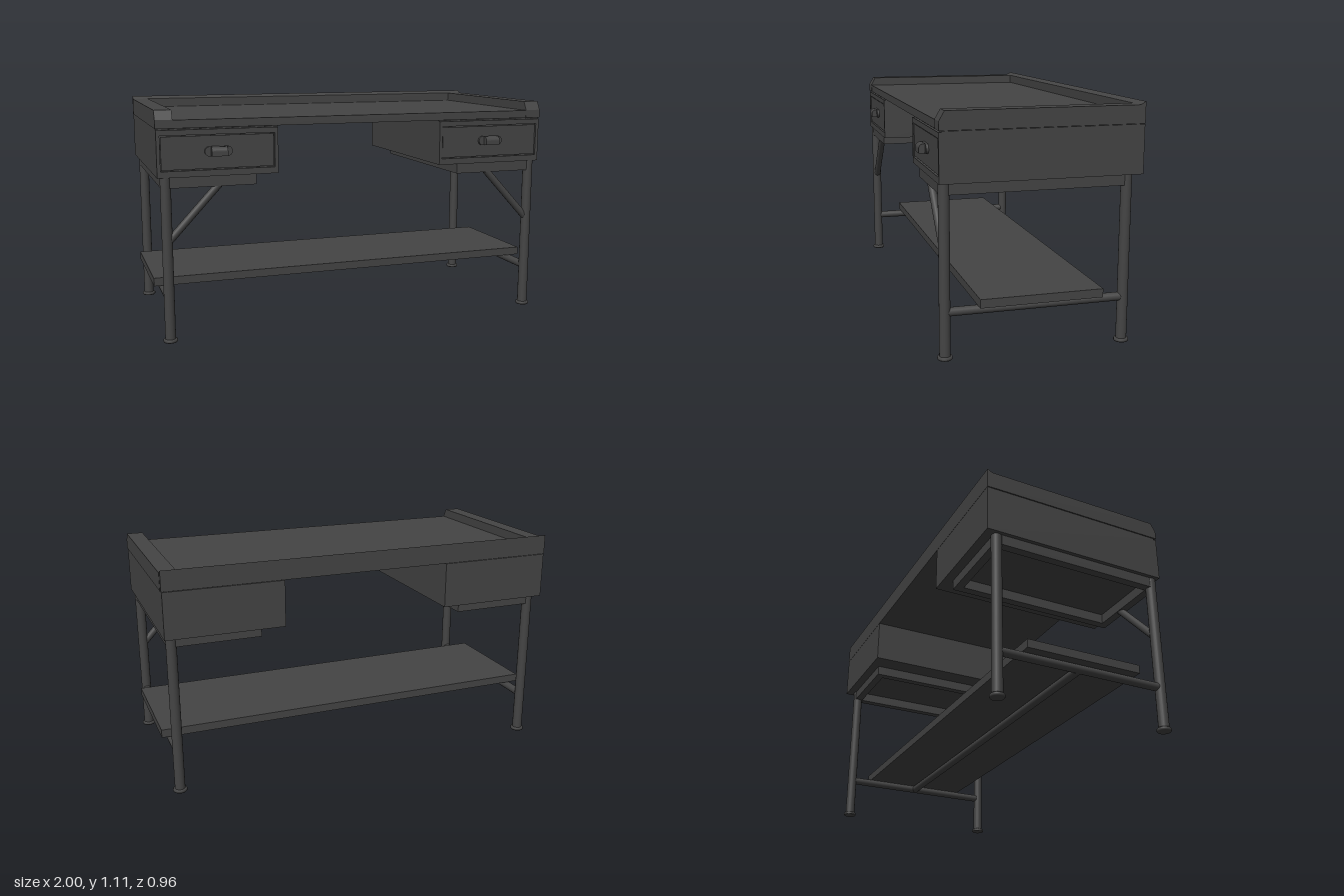
import * as THREE from 'three';

const material = new THREE.MeshStandardMaterial({ color: 0x444444 });

export function createModel() {
  const model = new THREE.Group();

  const add = (name, geometry, x = 0, y = 0, z = 0, parent = model) => {
    const mesh = new THREE.Mesh(geometry, material);
    mesh.name = name;
    mesh.position.set(x, y, z);
    parent.add(mesh);
    return mesh;
  };

  // Box given by its lower and upper limits on each axis
  const block = (name, [x0, x1], [y0, y1], [z0, z1], parent) =>
    add(name, new THREE.BoxGeometry(Math.abs(x1 - x0), y1 - y0, z1 - z0),
      (x0 + x1) / 2, (y0 + y1) / 2, (z0 + z1) / 2, parent);

  // Round bar between two points
  const bar = (name, from, to, radius, parent) => {
    const a = new THREE.Vector3(...from), b = new THREE.Vector3(...to);
    const dir = b.clone().sub(a);
    const mesh = add(name, new THREE.CylinderGeometry(radius, radius, dir.length(), 20), 0, 0, 0, parent);
    mesh.position.copy(a).add(b).multiplyScalar(0.5);
    mesh.quaternion.setFromUnitVectors(new THREE.Vector3(0, 1, 0), dir.normalize());
    return mesh;
  };

  // Profile of [z, y] points extruded along x, centred on x
  const extrudeX = (name, points, width, x, parent) => {
    const shape = new THREE.Shape(points.map(([z, y]) => new THREE.Vector2(-z, y)));
    const geometry = new THREE.ExtrudeGeometry(shape, { depth: width, bevelEnabled: false });
    geometry.translate(0, 0, -width / 2).rotateY(Math.PI / 2);
    return add(name, geometry, x, 0, 0, parent);
  };

  // Worktop with raised back lip
  block('worktop', [-0.99, 0.99], [1.01, 1.048], [-0.475, 0.443]);
  extrudeX('backLip', [[-0.48, 1.01], [-0.455, 1.01], [-0.455, 1.093], [-0.48, 1.107]], 1.98, 0);

  // Shelf and the long bar below it
  block('shelf', [-1, 1], [0.235, 0.275], [-0.3, 0.27]);
  bar('shelfBar', [-0.95, 0.215, -0.015], [0.95, 0.215, -0.015], 0.02);

  const footProfile = [[0, 0], [0.031, 0], [0.034, 0.004], [0.034, 0.011], [0.031, 0.016], [0.02, 0.016]]
    .map(([r, y]) => new THREE.Vector2(r, y));

  for (const s of [-1, 1]) {
    const side = new THREE.Group();
    side.name = s > 0 ? 'leftSide' : 'rightSide';
    model.add(side);

    // Raised edge with a sloped front end
    extrudeX('sideRail', [[0.445, 1.01], [0.445, 1.05], [0.42, 1.093], [-0.46, 1.093], [-0.46, 1.01]],
      0.08, s * 0.951, side);

    // Drawer case with a slim frame around the recessed front
    block('drawerCase', [s * 0.42, s * 0.988], [0.785, 1.008], [-0.48, 0.433], side);
    const frame = new THREE.Shape([[-0.284, 0.785], [0.284, 0.785], [0.284, 1.003], [-0.284, 1.003]]
      .map(p => new THREE.Vector2(...p)));
    frame.holes.push(new THREE.Path([[-0.268, 0.815], [-0.268, 0.978], [0.268, 0.978], [0.268, 0.815]]
      .map(p => new THREE.Vector2(...p))));
    add('drawerFrame', new THREE.ExtrudeGeometry(frame, { depth: 0.015, bevelEnabled: false }),
      s * 0.704, 0, 0.43, side);
    block('drawerFront', [s * 0.44, s * 0.968], [0.82, 0.973], [0.43, 0.44], side);

    // Handle: pill-shaped plate and rounded cup pull
    const pill = new THREE.Shape();
    pill.absarc(0.042, 0, 0.023, -Math.PI / 2, Math.PI / 2);
    pill.absarc(-0.042, 0, 0.023, Math.PI / 2, Math.PI * 1.5);
    add('handlePlate', new THREE.ExtrudeGeometry(pill, { depth: 0.014, bevelEnabled: false, curveSegments: 10 }),
      s * 0.704, 0.9, 0.438, side);
    const cup = [[0.44, 0.88]];
    for (let i = 0; i <= 8; i++) {
      const a = (i / 8) * Math.PI / 2;
      cup.push([0.458 + 0.022 * Math.cos(a), 0.9 + 0.022 * Math.sin(a)]);
    }
    cup.splice(1, 0, [0.48, 0.88]);
    cup.push([0.44, 0.922]);
    extrudeX('handlePull', cup, 0.075, s * 0.704, side);

    // Open frame below the drawer
    for (const z of [-0.415, 0.415])
      block('underFrameCross', [s * 0.525, s * 0.95], [0.735, 0.785], [z - 0.02, z + 0.02], side);
    for (const x of [0.545, 0.95])
      block('underFrameRail', [s * (x - 0.02), s * (x + 0.02)], [0.735, 0.785], [-0.4, 0.4], side);

    // Legs and feet
    for (const z of [-0.417, 0.417]) {
      bar('leg', [s * 0.949, 0.01, z], [s * 0.949, 0.786, z], 0.025, side);
      add('foot', new THREE.LatheGeometry(footProfile, 24), s * 0.949, 0, z, side);
    }

    // Lower rail and diagonal brace at the front leg
    bar('lowerRail', [s * 0.949, 0.215, -0.417], [s * 0.949, 0.215, 0.417], 0.02, side);
    bar('brace', [s * 0.945, 0.48, 0.417], [s * 0.665, 0.78, 0.417], 0.018, side);
  }
  return model;
}
